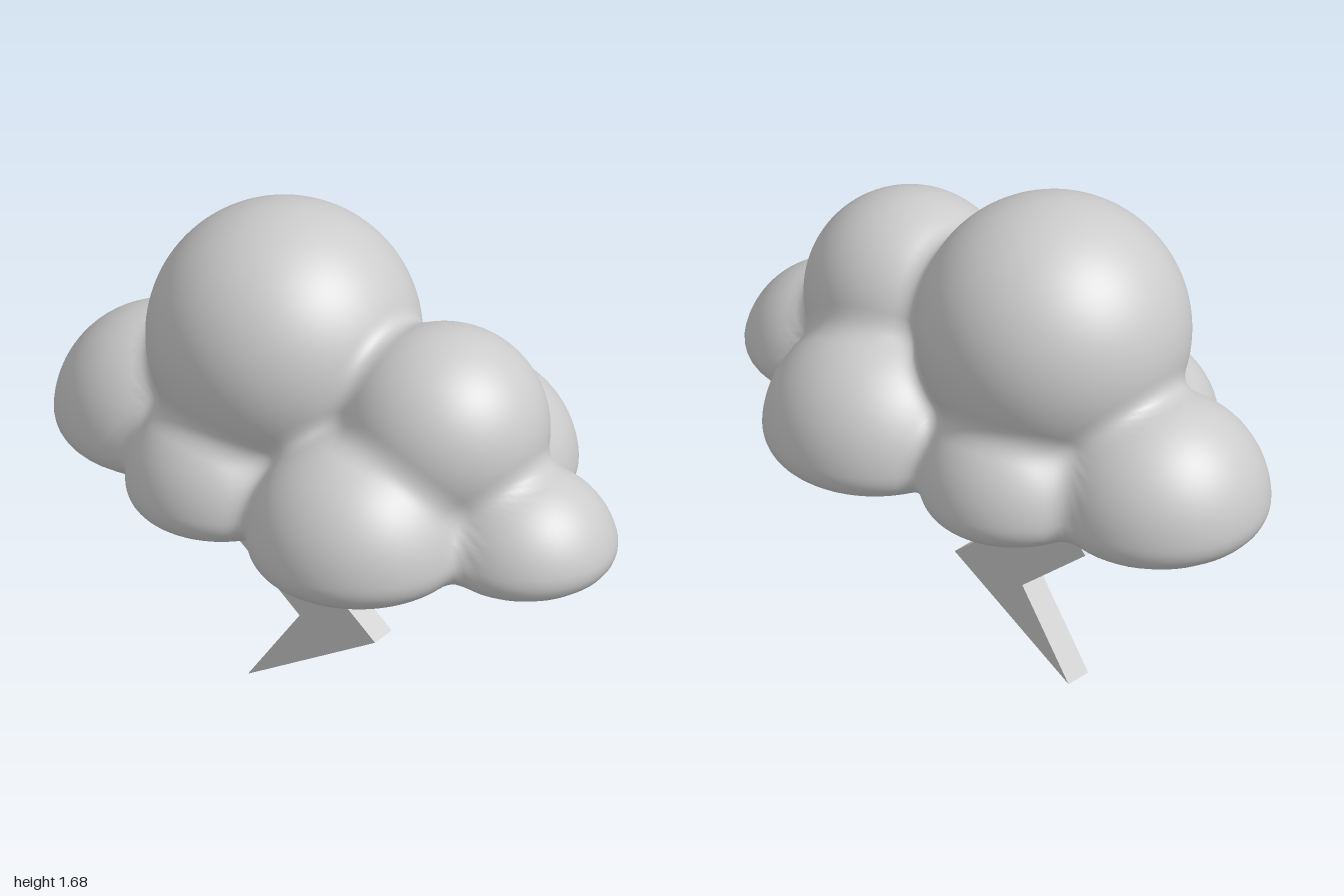
import * as THREE from 'three';

const FLOOR = 0.73; // height of the cloud's flat underside

// Puffs of the cloud: x, y, z, radius; those with z > 0 are mirrored to the back
const PUFFS = [
  [-0.205, 1.25, 0, 0.43],
  [0.4, 1.12, 0, 0.33],
  [-0.655, 0.82, 0, 0.345],
  [0.71, 0.77, 0, 0.29],
  [0.28, 0.815, 0.29, 0.35],
  [-0.27, 0.805, 0.245, 0.3],
  [-0.02, 0.85, 0, 0.33], // hidden core
].flatMap(([x, y, z, r]) => (z ? [[x, y, z, r], [x, y, -z, r]] : [[x, y, z, r]]));

function smoothMin(a, b, k) {
  const h = Math.max(k - Math.abs(a - b), 0) / k;
  return Math.min(a, b) - h * h * k * 0.25;
}

// Signed distance to the blended puffs, cut flat below with a rounded rim
function cloudDistance(p) {
  let d = 10;
  for (const [x, y, z, r] of PUFFS) {
    d = smoothMin(d, Math.hypot(p.x - x, p.y - y, p.z - z) - r, 0.07);
  }
  return -smoothMin(-d, p.y - FLOOR, 0.11);
}

// Shrink a sphere along its rays onto the cloud surface, with exact smooth normals
function cloudGeometry() {
  const geo = new THREE.SphereGeometry(1, 220, 160);
  const pos = geo.attributes.position;
  const nor = geo.attributes.normal;
  const centre = new THREE.Vector3(0, 0.95, 0);
  const dir = new THREE.Vector3();
  const p = new THREE.Vector3();
  const q = new THREE.Vector3();
  const n = new THREE.Vector3();
  const e = 0.002;
  for (let i = 0; i < pos.count; i++) {
    dir.fromBufferAttribute(pos, i).normalize();
    let t = 1.3;
    for (let s = 0; s < 120; s++) {
      p.copy(centre).addScaledVector(dir, t);
      const d = cloudDistance(p);
      if (d < 0.0003) break;
      t -= d;
    }
    for (const axis of ['x', 'y', 'z']) {
      q.copy(p)[axis] += e;
      const ahead = cloudDistance(q);
      q[axis] -= 2 * e;
      n[axis] = ahead - cloudDistance(q);
    }
    n.normalize();
    pos.setXYZ(i, p.x, p.y, p.z);
    nor.setXYZ(i, n.x, n.y, n.z);
  }
  return geo;
}

// Zigzag outline extruded to a plate; its top end is buried in the cloud
function boltGeometry() {
  const outline = [
    [-0.1, 0.85], [-0.38, 0.505], [-0.115, 0.28], [-0.31, 0],
    [0.17, 0.28], [-0.095, 0.505], [0.31, 0.85],
  ].map(([x, y]) => new THREE.Vector2(x, y));
  const geo = new THREE.ExtrudeGeometry(new THREE.Shape(outline), { depth: 0.09, bevelEnabled: false });
  return geo.translate(0, 0, -0.045);
}

export function createModel() {
  const model = new THREE.Group();
  model.name = 'stormCloud';
  const material = new THREE.MeshStandardMaterial({ color: 0xcccccc });

  const cloud = new THREE.Mesh(cloudGeometry(), material);
  cloud.name = 'cloud';
  const bolt = new THREE.Mesh(boltGeometry(), material);
  bolt.name = 'lightningBolt';

  model.add(cloud, bolt);
  return model;
}
